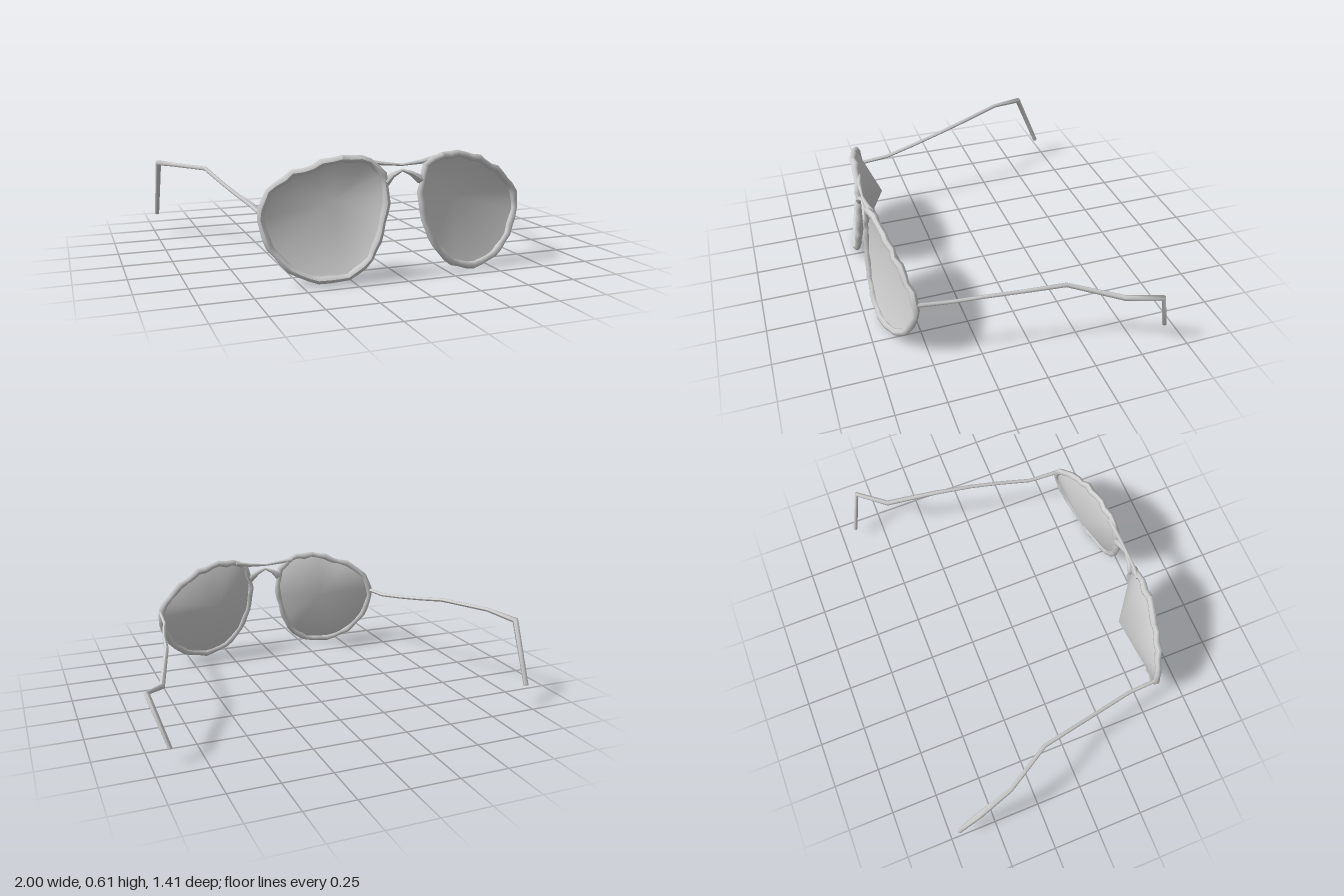
import * as THREE from 'three';

const V = (p) => new THREE.Vector3(...p);

// Polyline whose samples fall exactly on its corners, with bisected tangents
class Polyline extends THREE.Curve {
  constructor(points, closed) {
    super();
    this.points = points;
    this.closed = closed;
    this.segments = closed ? points.length : points.length - 1;
  }
  at(i) {
    const n = this.points.length;
    return this.points[this.closed ? (i + n) % n : Math.min(Math.max(i, 0), n - 1)];
  }
  getPointAt(t, target = new THREE.Vector3()) {
    return target.copy(this.at(Math.round(t * this.segments)));
  }
  getTangentAt(t, target = new THREE.Vector3()) {
    const i = Math.round(t * this.segments);
    const a = this.at(i).clone().sub(this.at(i - 1)).normalize();
    const b = this.at(i + 1).clone().sub(this.at(i)).normalize();
    return target.copy(a).add(b).normalize();
  }
}

// Tube through the points, with its own radius at each one
function tube(points, radii, sides, closed = false) {
  const curve = new Polyline(points, closed);
  const geometry = new THREE.TubeGeometry(curve, curve.segments, 1, sides, closed);
  const pos = geometry.attributes.position;
  const v = new THREE.Vector3();
  for (let i = 0; i < pos.count; i++) {
    const ring = Math.floor(i / (sides + 1)) % points.length;
    v.fromBufferAttribute(pos, i).sub(points[ring]).multiplyScalar(radii[ring]).add(points[ring]);
    pos.setXYZ(i, v.x, v.y, v.z);
  }
  geometry.computeVertexNormals();
  return geometry;
}

// Open wire closed off by tiny end rings
function wire(coords, radii, sides = 6) {
  const p = coords.map(V);
  const n = p.length;
  const beyond = (a, b) => a.clone().add(a.clone().sub(b).setLength(0.002));
  return tube([beyond(p[0], p[1]), ...p, beyond(p[n - 1], p[n - 2])], [0.0005, ...radii, 0.0005], sides);
}

// Face-form curve: the front wraps back to the sides and leans back at the top
const frontZ = (x, y) =>
  0.675 - 0.12 * Math.pow(Math.max(Math.abs(x) - 0.08, 0) / 0.61, 2.2) + (0.3 - y) * 0.07;

// Outer outlines of the two rims (x, y)
const leftOutline = [
  [0.2, 0.6], [0.355, 0.595], [0.515, 0.53], [0.635, 0.44], [0.7, 0.345], [0.69, 0.25],
  [0.635, 0.135], [0.555, 0.06], [0.41, 0.01], [0.275, 0.035], [0.18, 0.11], [0.105, 0.25],
  [0.08, 0.405], [0.1, 0.52], [0.14, 0.575],
];
const rightOutline = [
  [-0.295, 0.612], [-0.19, 0.6], [-0.125, 0.575], [-0.075, 0.485], [-0.065, 0.405], [-0.09, 0.27],
  [-0.15, 0.12], [-0.235, 0.04], [-0.355, 0.01], [-0.5, 0.035], [-0.63, 0.15], [-0.685, 0.31],
  [-0.66, 0.425], [-0.57, 0.52], [-0.475, 0.56],
];

// Evenly resampled centre line of a rim, with a hand-bent ripple
function rimPath(outline, count, ripple) {
  const curve = new THREE.CatmullRomCurve3(outline.map(([x, y]) => V([x, y, 0])), true);
  const centre = V([outline === leftOutline ? 0.38 : -0.37, 0.31, 0]);
  const path = [];
  for (let i = 0; i < count; i++) {
    const p = curve.getPointAt(i / count);
    const top = p.y > 0.42 ? 1.5 : 0.8;
    const wave = ripple * top * Math.sin(i * 2.1);
    const inward = centre.clone().sub(p).setLength(0.018 + wave);
    p.add(inward);
    p.z = frontZ(p.x, p.y) + ripple * top * Math.cos(i * 2.6);
    path.push(p);
  }
  return path;
}

// Shallow lens: a fan from the rim to an apex set behind it
function lensGeometry(path, apex) {
  const n = path.length;
  const clockwise = THREE.ShapeUtils.isClockWise(path);
  const index = [];
  for (let i = 0; i < n; i++) {
    const a = i + 1, b = ((i + 1) % n) + 1;
    index.push(0, ...(clockwise ? [b, a] : [a, b]));
  }
  const geometry = new THREE.BufferGeometry().setFromPoints([V(apex), ...path]);
  geometry.setIndex(index);
  geometry.computeVertexNormals();
  return geometry;
}

export function createModel() {
  const model = new THREE.Group();
  model.name = 'glasses';
  const grey = new THREE.MeshStandardMaterial({ color: 0xcccccc, side: THREE.DoubleSide });
  grey.name = 'light grey';
  const add = (name, geometry) => {
    const mesh = new THREE.Mesh(geometry, grey);
    mesh.name = name;
    model.add(mesh);
  };

  // Rims and lenses
  for (const [side, outline, apex] of [
    ['left', leftOutline, [0.33, 0.36, 0.55]],
    ['right', rightOutline, [-0.3, 0.37, 0.502]],
  ]) {
    const path = rimPath(outline, 40, 0.004);
    add(side + 'Rim', tube(path, path.map((_, i) => 0.018 + 0.002 * Math.sin(i * 1.7)), 7, true));
    add(side + 'Lens', lensGeometry(rimPath(outline, 40, 0), apex));
  }

  // Brow bar and nose bridge, thinnest in the middle
  add('browBar', wire(
    [[-0.17, 0.575, 0.642], [-0.1, 0.563, 0.653], [0, 0.552, 0.658], [0.1, 0.561, 0.653], [0.19, 0.578, 0.642]],
    [0.012, 0.01, 0.006, 0.011, 0.013]));
  add('noseBridge', wire(
    [[-0.085, 0.475, 0.658], [-0.05, 0.505, 0.66], [0, 0.527, 0.66], [0.05, 0.508, 0.66], [0.1, 0.475, 0.658]],
    [0.024, 0.014, 0.007, 0.014, 0.024]));

  // Bent temples, each ending in an ear hook
  add('rightTemple', wire(
    [[-0.67, 0.35, 0.555], [-0.68, 0.36, 0.39], [-0.715, 0.388, 0.22], [-0.75, 0.42, 0.05],
      [-0.79, 0.46, -0.14], [-0.93, 0.455, -0.38], [-0.982, 0.442, -0.56], [-0.986, 0.12, -0.695]],
    [0.011, 0.01, 0.01, 0.01, 0.011, 0.011, 0.017, 0.013]));
  add('leftTemple', wire(
    [[0.685, 0.347, 0.555], [0.697, 0.337, 0.39], [0.735, 0.357, 0.22], [0.77, 0.371, 0.05],
      [0.802, 0.383, -0.155], [0.888, 0.298, -0.43], [0.987, 0.338, -0.58], [0.91, 0.085, -0.66]],
    [0.011, 0.01, 0.01, 0.01, 0.012, 0.015, 0.015, 0.012]));

  return model;
}
